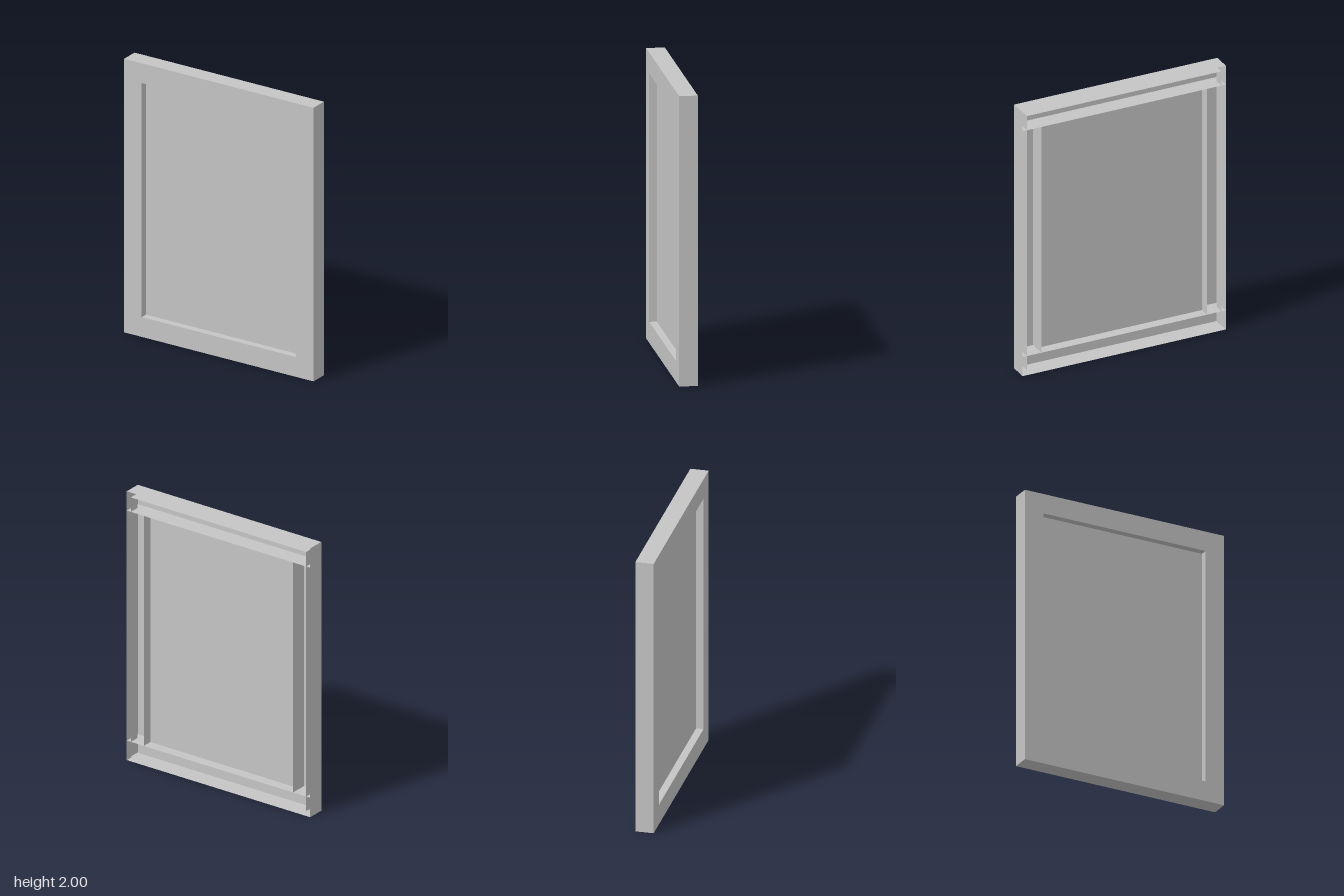
import * as THREE from 'three';

const W = 0.764, H = 2, D = 0.0635;      // outer half width, height, half depth
const OX = 0.622, O0 = 0.145, O1 = 1.856; // opening
const LX = 0.73, L = 0.036;               // rear lip half width and inset
const PANEL_Z = 0.012;

export function createModel() {
  const group = new THREE.Group();
  group.name = 'pictureFrame';
  const grey = new THREE.MeshStandardMaterial({ color: 0xc5c5c5, side: THREE.DoubleSide });
  grey.name = 'frame grey';

  const add = (name, geometry) => {
    const mesh = new THREE.Mesh(geometry, grey);
    mesh.name = name;
    group.add(mesh);
  };

  // Level sheet spanning +-halfWidth at height y
  const level = (name, halfWidth, y, z0, z1) => add(name,
    new THREE.PlaneGeometry(2 * halfWidth, z1 - z0).rotateX(-Math.PI / 2).translate(0, y, (z0 + z1) / 2));

  // Upright sheet at x, from y0 to y1
  const upright = (name, x, y0, y1, z0, z1) => add(name,
    new THREE.PlaneGeometry(z1 - z0, y1 - y0).rotateY(Math.sign(x) * Math.PI / 2)
      .translate(x, (y0 + y1) / 2, (z0 + z1) / 2));

  // Front face with its rectangular opening
  const face = new THREE.Shape([[-W, 0], [W, 0], [W, H], [-W, H]].map(p => new THREE.Vector2(...p)));
  face.holes.push(new THREE.Path([[-OX, O0], [-OX, O1], [OX, O1], [OX, O0]].map(p => new THREE.Vector2(...p))));
  add('frontFace', new THREE.ShapeGeometry(face).translate(0, 0, D));

  // Recessed panel inside the opening
  add('panel', new THREE.PlaneGeometry(2 * OX, O1 - O0).translate(0, (O0 + O1) / 2, PANEL_Z));

  // Outer walls, rail walls round the opening, and rear lip; the back is open
  level('bottomWall', W, 0, -D, D);
  level('topWall', W, H, -D, D);
  level('lowerRail', W, O0, -D, D);
  level('upperRail', W, O1, -D, D);
  level('lowerLip', LX, L, -D, PANEL_Z);
  level('upperLip', LX, H - L, -D, PANEL_Z);
  for (const [side, s] of [['left', 1], ['right', -1]]) {
    upright(side + 'Wall', s * W, 0, H, -D, D);
    upright(side + 'Rail', s * OX, O0, O1, -D, D);
    upright(side + 'Lip', s * LX, L, H - L, -D, PANEL_Z);
  }
  return group;
}
